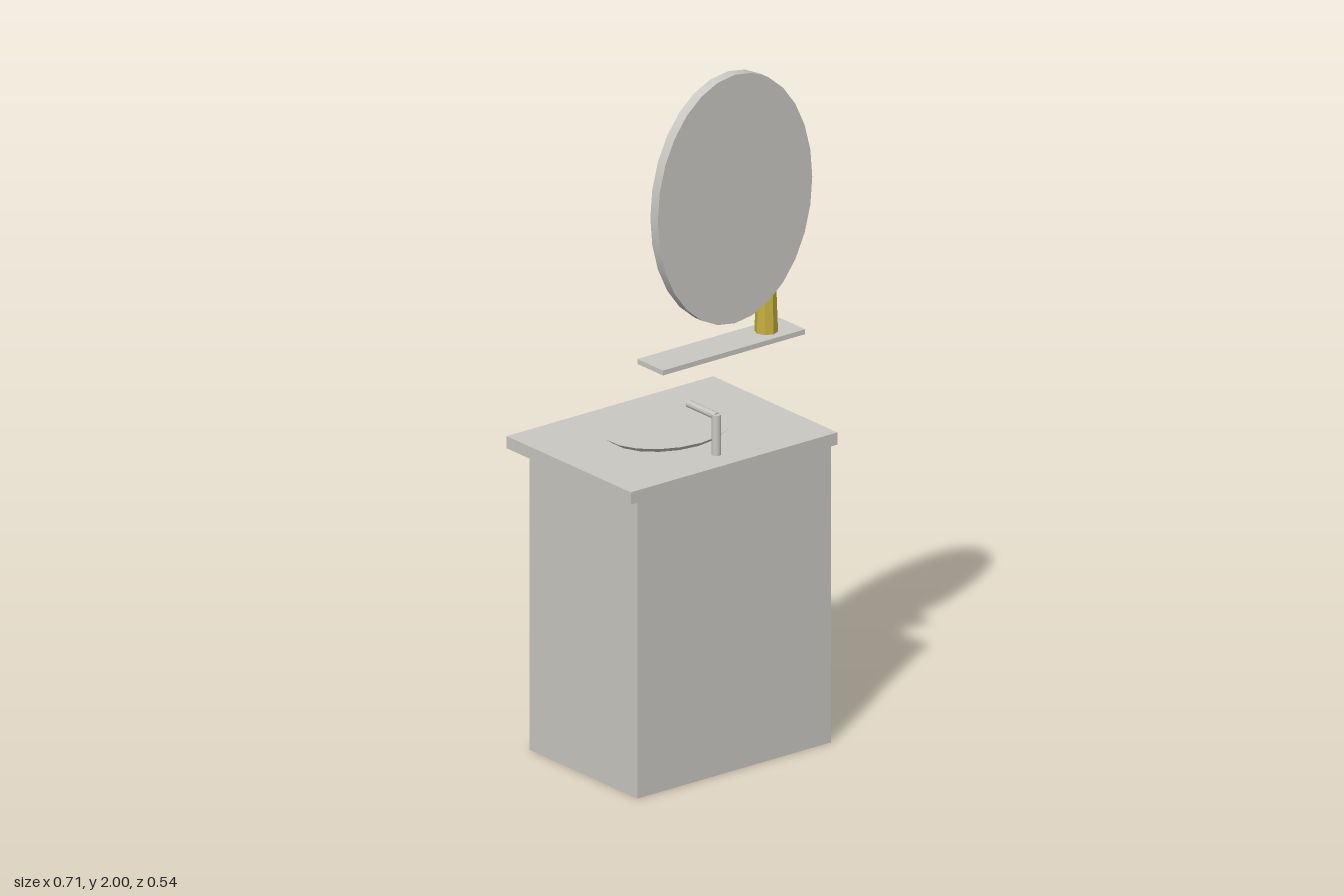
import * as THREE from 'three';

export function createModel() {
  const group = new THREE.Group();
  const stone = new THREE.MeshStandardMaterial({ color: 0xc9c8c2 });
  stone.name = 'warm grey';
  const gold = new THREE.MeshStandardMaterial({ color: 0xc4ae3c });
  gold.name = 'gold';

  function add(name, geometry, material, x, y, z) {
    const mesh = new THREE.Mesh(geometry, material);
    mesh.name = name;
    mesh.position.set(x, y, z);
    group.add(mesh);
    return mesh;
  }

  // Box given by its extents on each axis
  function box(name, [x0, x1], [y0, y1], [z0, z1]) {
    add(name, new THREE.BoxGeometry(x1 - x0, y1 - y0, z1 - z0), stone,
      (x0 + x1) / 2, (y0 + y1) / 2, (z0 + z1) / 2);
  }

  // Upright elliptical disc facing along z
  function disc(name, rx, ry, z0, z1) {
    const g = new THREE.CylinderGeometry(1, 1, z1 - z0, 28);
    g.rotateX(Math.PI / 2).scale(rx, ry, 1);
    add(name, g, stone, 0, 1.643, (z0 + z1) / 2);
  }

  // Vanity
  box('cabinet', [-0.332, 0.332], [0, 0.85], [-0.199, 0.263]);
  box('countertop', [-0.354, 0.354], [0.85, 0.885], [-0.269, 0.263]);

  // Shallow oval basin, flaring upwards
  const basin = new THREE.CylinderGeometry(1, 0.9, 0.014, 18);
  basin.scale(0.187, 1, 0.15);
  add('basin', basin, stone, 0, 0.892, -0.0265);

  // Tap
  add('tapPost', new THREE.CylinderGeometry(0.013, 0.013, 0.115, 12), stone, 0, 0.9425, 0.187);
  const spout = new THREE.CylinderGeometry(0.0105, 0.0105, 0.12, 8);
  spout.rotateX(Math.PI / 2);
  add('tapSpout', spout, stone, 0, 0.995, 0.128);

  // Shelf and mirror; the glass faces the basin side
  box('shelf', [-0.244, 0.244], [1.194, 1.208], [0.153, 0.263]);
  disc('mirrorFrame', 0.265, 0.357, 0.235, 0.267);
  disc('mirrorGlass', 0.222, 0.3, 0.229, 0.235);

  // Faceted tumbler on the shelf
  const tumbler = new THREE.CylinderGeometry(0.027, 0.032, 0.135, 8).toNonIndexed();
  tumbler.computeVertexNormals();
  add('tumbler', tumbler, gold, 0.155, 1.2755, 0.207);

  return group;
}
